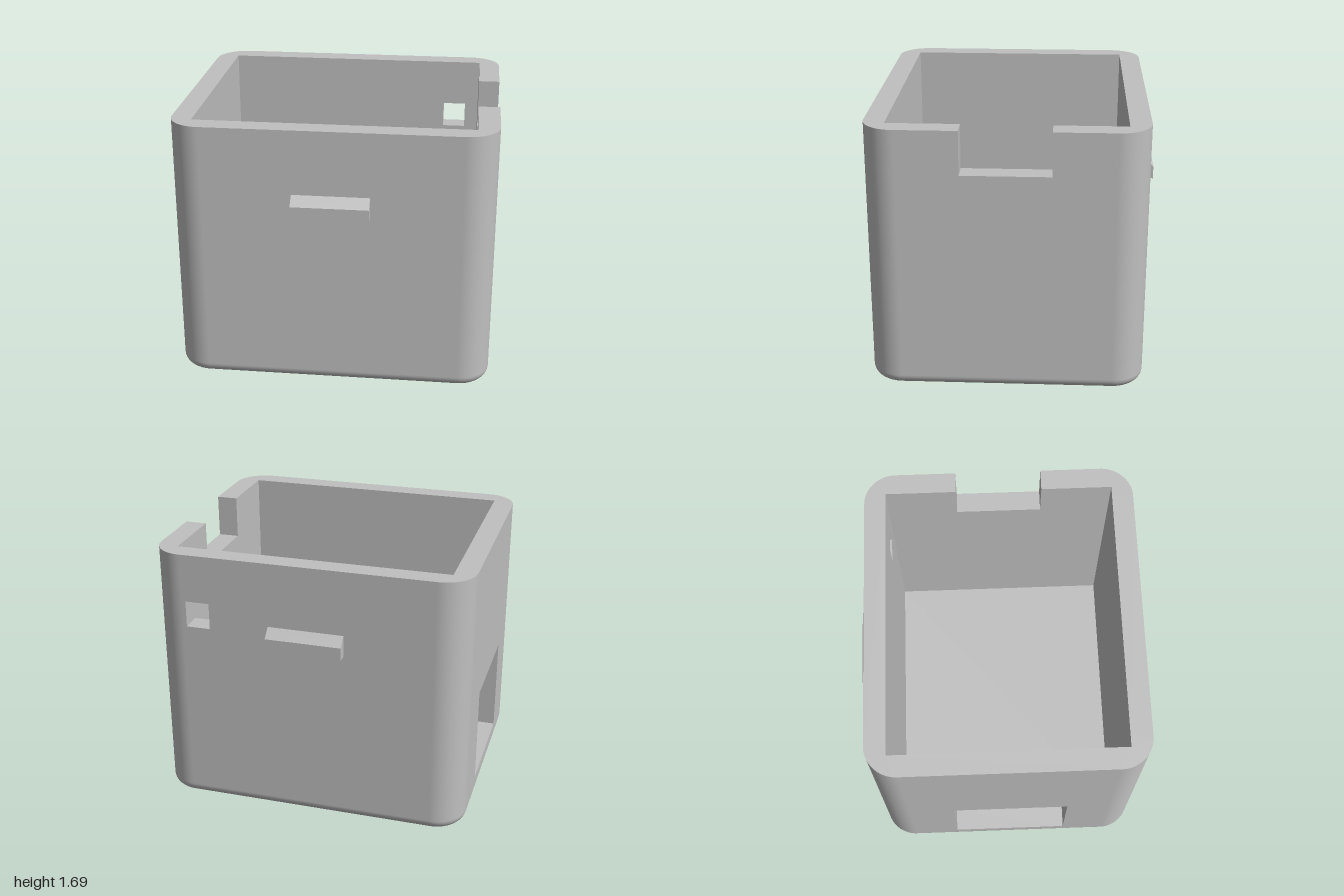
import * as THREE from 'three';
import { toCreasedNormals } from 'three/addons/utils/BufferGeometryUtils.js';

const HX = 1, HZ = 0.86, H = 1.69;   // half width, half depth, height
const T = 0.135;                     // wall and floor thickness
const R = 0.2, F = 0.07;             // corner radius, bottom fillet
const CX = HX - R, CZ = HZ - R;      // corner arc centres
const SEG = 16;

const rect = (x0, x1, y0, y1) => [[x0, y0], [x1, y0], [x1, y1], [x0, y1]].map(p => new THREE.Vector2(...p));

export function createModel() {
  const group = new THREE.Group();
  const grey = new THREE.MeshStandardMaterial({ color: 0xc0c0c0 });
  grey.name = 'plainGrey';

  const add = (name, geometry) => {
    const mesh = new THREE.Mesh(geometry, grey);
    mesh.name = name;
    group.add(mesh);
    return mesh;
  };

  // Flat walls, with their outer face at the given distance from the centre
  const wall = (name, outline, hole, distance, turn) => {
    const shape = new THREE.Shape(outline);
    if (hole) shape.holes.push(new THREE.Path(hole));
    const geo = new THREE.ExtrudeGeometry(shape, { depth: T, bevelEnabled: false });
    geo.translate(0, 0, distance - T);
    add(name, geo).rotation.y = turn;
  };
  const notched = [
    [-CZ, F], [CZ, F], [CZ, H], [0.275, H], [0.275, 1.415], [-0.275, 1.415], [-0.275, H], [-CZ, H],
  ].map(p => new THREE.Vector2(...p));
  wall('frontWall', rect(-CX, CX, F, H), null, HZ, 0);
  wall('backWall', rect(-CX, CX, F, H), rect(-0.775, -0.622, 1.217, 1.385), HZ, Math.PI);
  wall('notchedWall', notched, null, HX, Math.PI / 2);
  wall('windowWall', rect(-CZ, CZ, F, H), rect(-0.365, 0.387, T + 0.001, 0.758), HX, -Math.PI / 2);

  // Corner posts: round outside, square inside
  const inner = R - T;
  const post = new THREE.Shape();
  post.moveTo(R, 0);
  post.absarc(0, 0, R, 0, Math.PI / 2, false);
  post.lineTo(0, inner);
  post.lineTo(inner, inner);
  post.lineTo(inner, 0);
  post.closePath();
  let postGeo = new THREE.ExtrudeGeometry(post, { depth: H - F, bevelEnabled: false, curveSegments: SEG });
  postGeo.rotateX(-Math.PI / 2);
  postGeo = toCreasedNormals(postGeo, 0.5);
  [[1, -1], [-1, -1], [-1, 1], [1, 1]].forEach(([sx, sz], k) => {
    const mesh = add('cornerPost', postGeo);
    mesh.position.set(sx * CX, F, sz * CZ);
    mesh.rotation.y = k * Math.PI / 2;
  });

  // Floor inside the walls
  const floor = add('floor', new THREE.BoxGeometry(2 * (HX - T), T - F, 2 * (HZ - T)));
  floor.position.y = (T + F) / 2;

  // Rounded bottom edge, lofted from shrinking rounded rectangles
  const ring = (inset) => {
    const pts = [];
    [[1, 1], [-1, 1], [-1, -1], [1, -1]].forEach(([sx, sz], k) => {
      for (let i = 0; i <= SEG; i++) {
        const a = (k + i / SEG) * Math.PI / 2;
        pts.push({ a, x: sx * CX + (R - inset) * Math.cos(a), z: sz * CZ + (R - inset) * Math.sin(a) });
      }
    });
    return pts;
  };
  const pos = [], nor = [], idx = [], steps = 10, n = 4 * (SEG + 1);
  for (let j = 0; j <= steps; j++) {
    const t = j / steps * Math.PI / 2;
    for (const p of ring(F * (1 - Math.cos(t)))) {
      pos.push(p.x, F * (1 - Math.sin(t)), p.z);
      nor.push(Math.cos(p.a) * Math.cos(t), -Math.sin(t), Math.sin(p.a) * Math.cos(t));
    }
    if (j === steps) break;
    for (let i = 0; i < n; i++) {
      const a = j * n + i, b = j * n + (i + 1) % n;
      idx.push(a, b, a + n, b, b + n, a + n);
    }
  }
  const fillet = new THREE.BufferGeometry();
  fillet.setAttribute('position', new THREE.Float32BufferAttribute(pos, 3));
  fillet.setAttribute('normal', new THREE.Float32BufferAttribute(nor, 3));
  fillet.setIndex(idx);
  add('bottomEdge', fillet);

  // Flat underside
  const under = new THREE.ShapeGeometry(new THREE.Shape(ring(F).map(p => new THREE.Vector2(p.x, p.z))));
  add('underside', under.rotateX(Math.PI / 2));

  // Sloped catches on the front and back walls
  const profile = [[0, 1.143], [0.06, 1.143], [0.06, 1.224], [0, 1.28]].map(p => new THREE.Vector2(...p));
  const catchGeo = new THREE.ExtrudeGeometry(new THREE.Shape(profile), { depth: 0.48, bevelEnabled: false });
  catchGeo.translate(0, 0, -0.24).rotateY(-Math.PI / 2).translate(0, 0, HZ);
  add('frontCatch', catchGeo);
  add('backCatch', catchGeo).rotation.y = Math.PI;

  return group;
}
